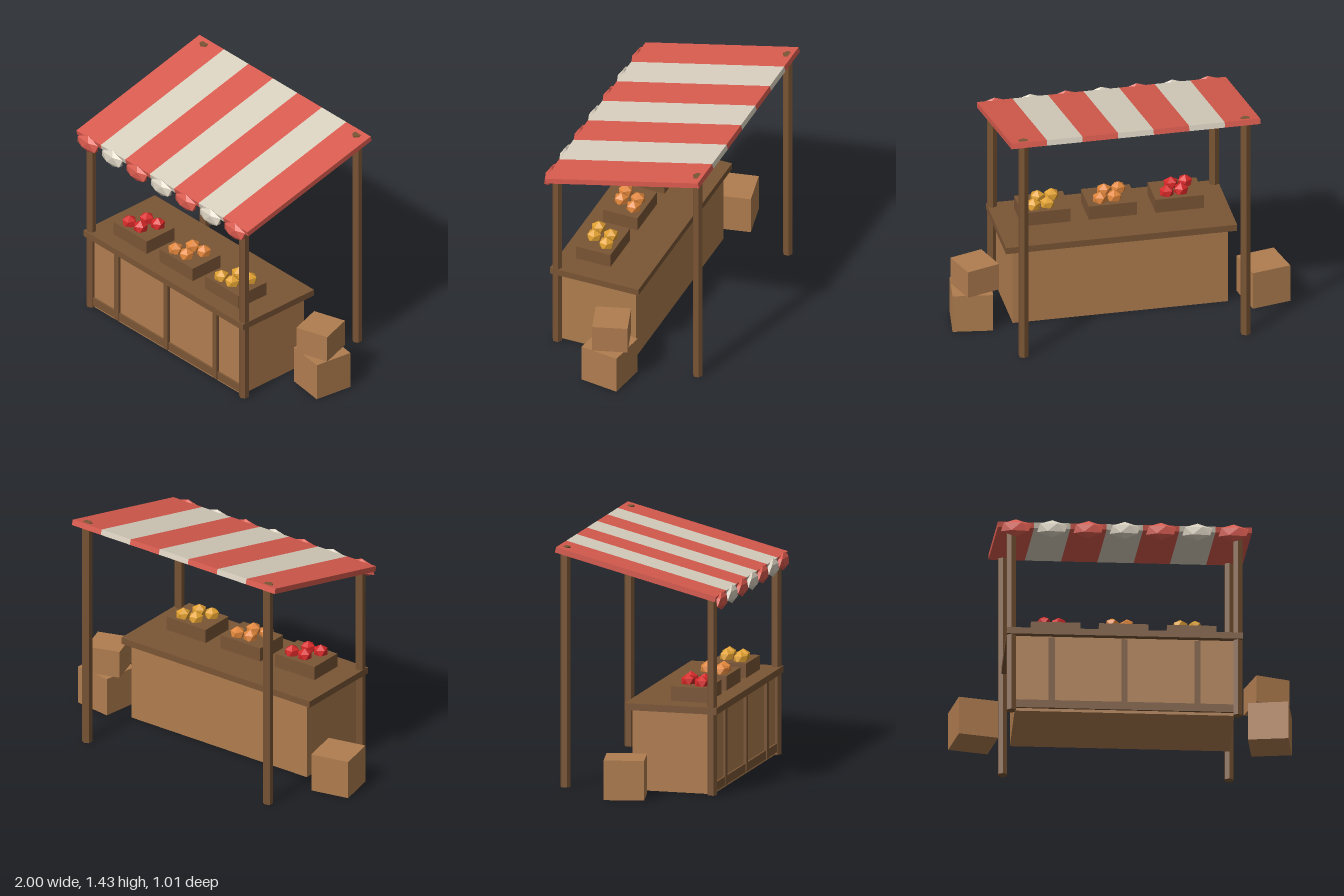
import * as THREE from 'three';

const material = (name, color) => {
  const m = new THREE.MeshStandardMaterial({ color, flatShading: true });
  m.name = name;
  return m;
};

export function createModel() {
  const model = new THREE.Group();
  model.name = 'marketStall';

  const lightWood = material('lightWood', 0xb07d4f);
  const darkWood = material('darkWood', 0x7a5535);
  const red = material('awningRed', 0xd95b4e);
  const cream = material('awningCream', 0xd9d0bf);
  const fruitColors = [
    material('fruitRed', 0xd62828),
    material('fruitOrange', 0xe0853a),
    material('fruitYellow', 0xe0a030),
  ];

  const CX = -0.005; // centre line of the stall

  const add = (name, geometry, mat, x, y, z, parent = model) => {
    const mesh = new THREE.Mesh(geometry, mat);
    mesh.name = name;
    mesh.position.set(x, y, z);
    parent.add(mesh);
    return mesh;
  };
  const box = (name, mat, w, h, d, x, y, z, parent) =>
    add(name, new THREE.BoxGeometry(w, h, d), mat, x, y, z, parent);

  // Icosahedron standing on one corner
  const gem = (r) => new THREE.IcosahedronGeometry(r, 0).rotateZ(-0.5536);

  // Counter with overhanging top
  box('counterBody', lightWood, 1.28, 0.48, 0.49, CX, 0.24, 0.185);
  box('counterTop', darkWood, 1.375, 0.04, 0.56, CX, 0.5, 0.185);

  // Front trim
  box('bottomRail', darkWood, 1.28, 0.05, 0.02, CX, 0.043, 0.432);
  for (const i of [-1, 0, 1])
    box('frontSlat', darkWood, 0.036, 0.45, 0.025, CX + i * 0.425, 0.242, 0.435);

  // Six-sided posts, taller at the back
  for (const side of [-1, 1]) {
    for (const [name, h, z] of [['frontPost', 1.18, 0.43], ['backPost', 1.426, -0.46]])
      add(name, new THREE.CylinderGeometry(0.03, 0.03, h, 6), darkWood, CX + side * 0.66, h / 2, z);
  }

  // Sloping striped awning with a scallop below each stripe
  const awning = new THREE.Group();
  awning.name = 'awning';
  awning.position.set(CX, 1.295, -0.013);
  awning.rotation.x = 0.245;
  model.add(awning);
  const stripe = 1.48 / 7;
  const scallop = gem(1).scale(0.1, 0.055, 0.027);
  for (let i = 0; i < 7; i++) {
    const mat = i % 2 ? cream : red;
    const x = (i - 3) * stripe;
    box('awningStripe', mat, stripe, 0.033, 1.0, x, 0, 0, awning);
    add('awningScallop', scallop, mat, CX + x, 1.15, 0.48);
  }

  // Produce trays, each with four fruits in a slanted square
  const fruit = gem(0.047);
  fruitColors.forEach((mat, i) => {
    const x = CX + (i - 1) * 0.397;
    box('produceTray', darkWood, 0.288, 0.085, 0.22, x, 0.5625, 0.255);
    for (const row of [-1, 1])
      for (const col of [-1, 1]) {
        const f = add('fruit', fruit, mat, x + col * 0.043 - row * 0.022, 0.616, 0.257 + row * 0.048 - col * 0.004);
        f.rotation.y = i + row * 0.6 + col * 0.3;
      }
  });

  // Loose crates beside the stall
  const crate = (name, s, h, x, y, z, turn) => {
    box(name, lightWood, s, h, s, x, y + h / 2, z).rotation.y = turn;
  };
  crate('rightCrate', 0.237, 0.235, -0.86, 0, -0.04, 0.21);
  crate('leftLowerCrate', 0.237, 0.235, 0.866, 0, 0.008, -0.14);
  crate('leftUpperCrate', 0.207, 0.168, 0.848, 0.235, 0.003, 0.31);

  return model;
}
